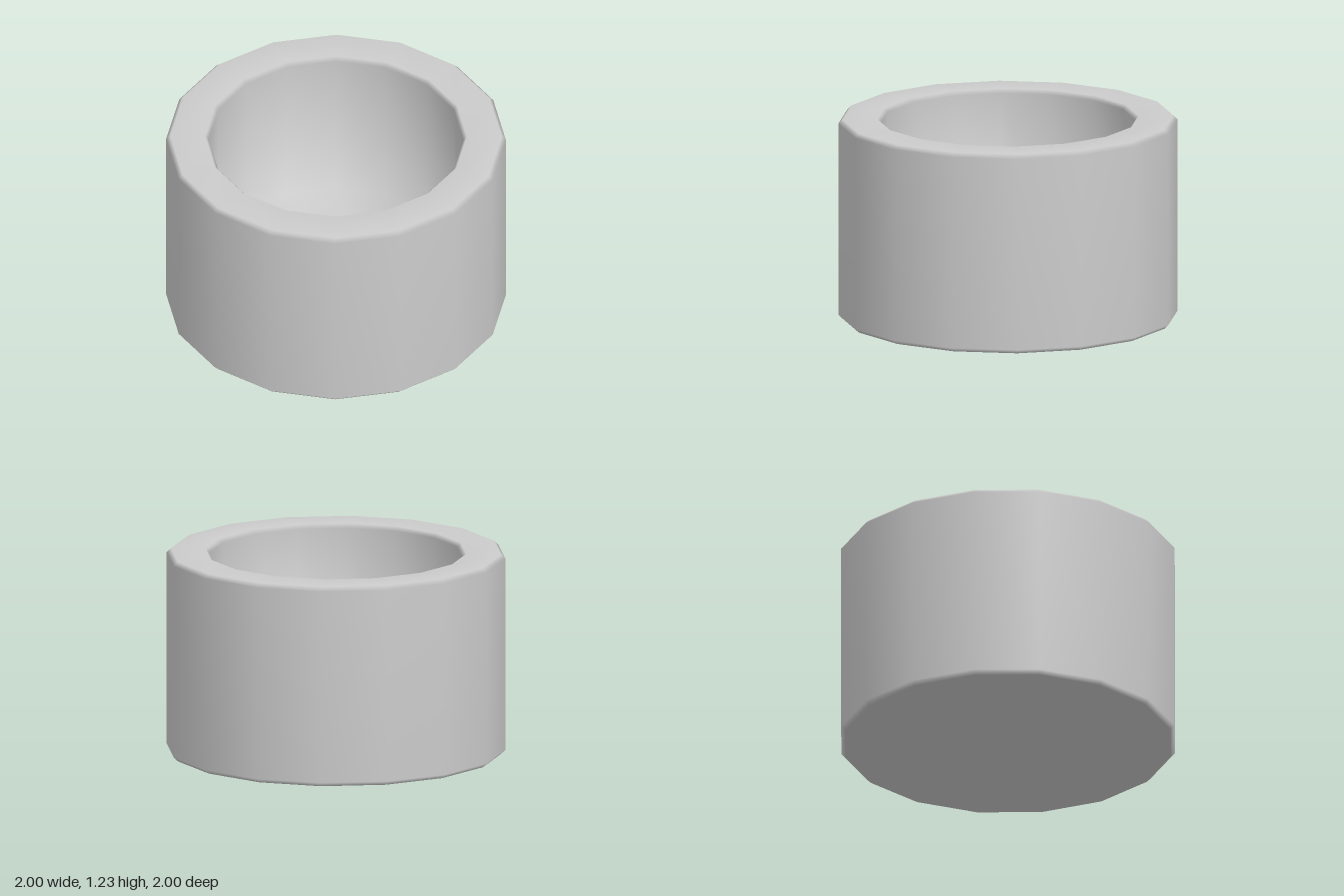
import * as THREE from 'three';

const SIDES = 16;
// Converts a flat-to-centre distance into a corner radius
const corner = (r) => r / Math.cos(Math.PI / SIDES);

export function createModel() {
  const group = new THREE.Group();
  const outer = 1, inner = 0.75, height = 1.225, bevel = 0.025, floor = 0.25;

  // Cross-section from the underside centre, over the rim, down to the inner floor
  const profile = [
    [0, 0],
    [outer - bevel, 0],
    [outer, bevel],
    [outer, height - bevel],
    [outer - bevel, height],
    [inner + 0.02, height],
    [inner, height - bevel],
    [inner, floor],
    [0.25, floor - 0.01],
    [0, floor - 0.03],
  ].map(([r, y]) => new THREE.Vector2(corner(r), y));

  // Thick-walled round cup, turned so that flat sides face the axes
  const cup = new THREE.Mesh(
    new THREE.LatheGeometry(profile, SIDES, Math.PI / SIDES),
    new THREE.MeshStandardMaterial({ color: 0xcccccc })
  );
  cup.name = 'cup';
  group.add(cup);
  return group;
}
